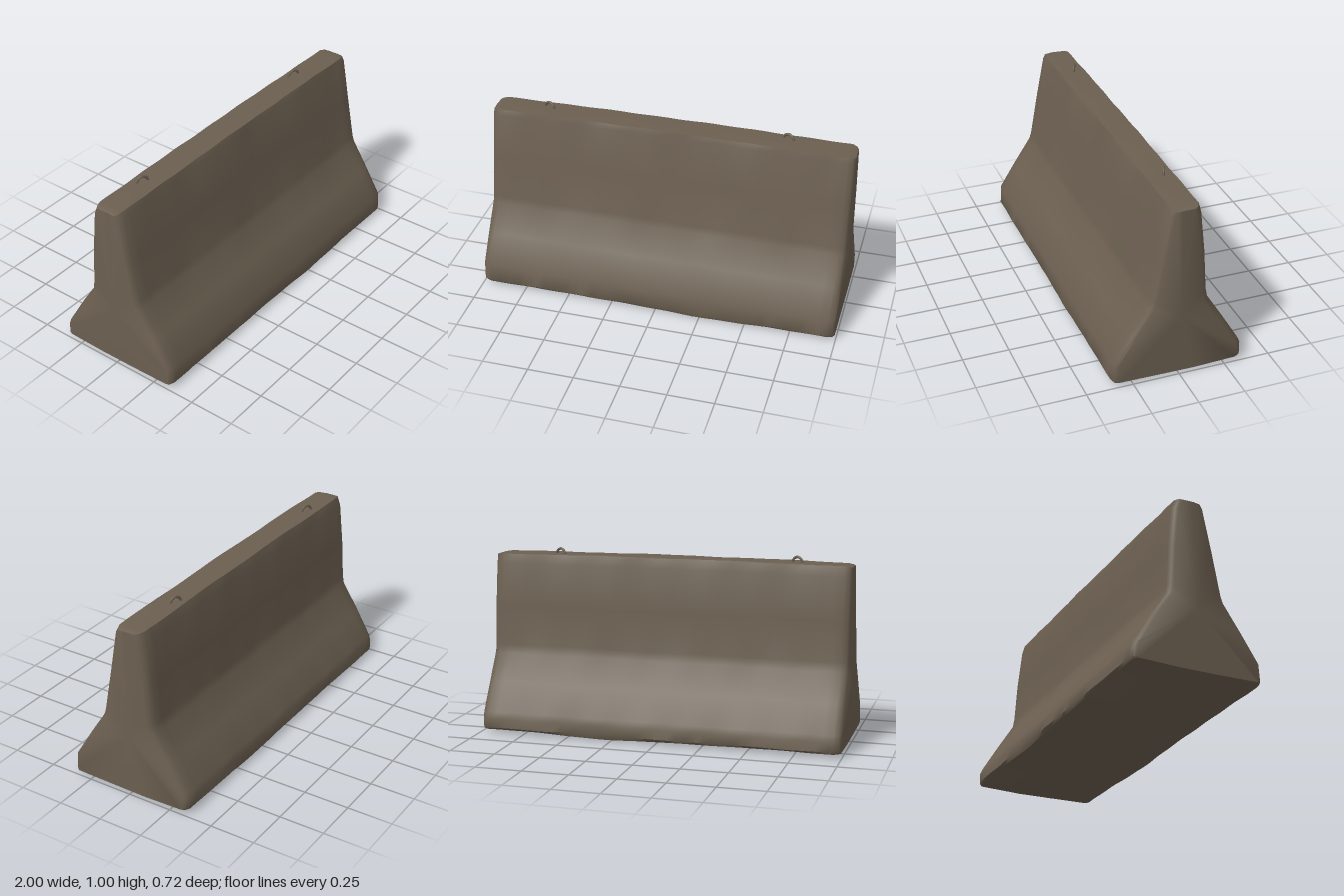
import * as THREE from 'three';
import { toCreasedNormals } from 'three/addons/utils/BufferGeometryUtils.js';

// Cross-section of the barrier as [z, y], up the front, over the top, down the back
const PROFILE = [
  [0.35, 0.018], [0.358, 0.03], [0.352, 0.125], [0.255, 0.275], [0.162, 0.42], [0.15, 0.46],
  [0.105, 0.7], [0.06, 0.935], [0.05, 0.962], [-0.025, 0.965], [-0.095, 0.962], [-0.112, 0.91],
  [-0.135, 0.68], [-0.148, 0.46], [-0.16, 0.41], [-0.25, 0.265], [-0.34, 0.115], [-0.352, 0.08],
  [-0.356, 0.03], [-0.345, 0.018], [-0.12, 0.012], [0.12, 0.012],
];
const CENTRE_Y = 0.35;

// Gentle repeatable wear along the length
const wear = (x, k) => Math.sin(x * 9.1 + k * 1.7) * 0.6 + Math.sin(x * 23.3 + k * 2.9) * 0.4;

// One profile point at position x, pulled in by `inset` at the worn ends
function sectionPoint(x, [z, y], j, inset) {
  const backInset = x > 0 && z < 0 ? inset * 1.5 : inset;
  const bow = 1 - x * x;
  let py = y + wear(x, j) * 0.002;
  if (y > 0.9) py += 0.008 * bow - 0.004 - inset * 0.35;
  if (y < 0.02) py -= 0.012 * Math.exp(-((x - 0.25) ** 2) / 0.08) - inset * 0.2;
  const pz = z - Math.sign(z) * Math.min(backInset, Math.abs(z)) + wear(x + 2, j) * 0.0025;
  return [x, Math.max(py, 0), pz];
}

function barrierGeometry() {
  // [x, inset] stations, with rounded worn ends
  const stations = [[-0.993, 0.022], [-0.982, 0.009], [-0.955, 0]];
  const steps = 36;
  for (let i = 1; i < steps; i++) stations.push([-0.955 + (1.91 * i) / steps, 0]);
  stations.push([0.955, 0], [0.982, 0.009], [0.993, 0.022]);

  const n = PROFILE.length;
  const positions = [];
  const index = [];
  for (const [x, inset] of stations) {
    PROFILE.forEach((p, j) => positions.push(...sectionPoint(x, p, j, inset)));
  }
  for (let i = 0; i < stations.length - 1; i++) {
    for (let j = 0; j < n; j++) {
      const k = (j + 1) % n;
      const a = i * n + j, b = (i + 1) * n + j, c = (i + 1) * n + k, d = i * n + k;
      index.push(a, b, c, a, c, d);
    }
  }
  // Slightly domed end faces
  const left = positions.length / 3;
  positions.push(-1, CENTRE_Y, 0, 1, CENTRE_Y, 0);
  const last = (stations.length - 1) * n;
  for (let j = 0; j < n; j++) {
    const k = (j + 1) % n;
    index.push(left, j, k, left + 1, last + k, last + j);
  }
  const geometry = new THREE.BufferGeometry();
  geometry.setAttribute('position', new THREE.Float32BufferAttribute(positions, 3));
  geometry.setIndex(index);
  return toCreasedNormals(geometry, 0.75);
}

// Bent steel bar standing out of the top
function liftingLoopGeometry() {
  const path = new THREE.CatmullRomCurve3([
    [-0.03, -0.03], [-0.031, 0.0], [-0.022, 0.021], [0, 0.031], [0.022, 0.021], [0.031, 0.0], [0.03, -0.03],
  ].map(([x, y]) => new THREE.Vector3(x, y, 0)));
  return new THREE.TubeGeometry(path, 20, 0.007, 8, false);
}

export function createModel() {
  const group = new THREE.Group();
  group.name = 'concreteBarrier';
  const concrete = new THREE.MeshStandardMaterial({ color: 0x6b5f50 });
  concrete.name = 'concrete';

  const body = new THREE.Mesh(barrierGeometry(), concrete);
  body.name = 'barrierBody';
  group.add(body);

  const loopGeometry = liftingLoopGeometry();
  for (const [name, x, z] of [['rightLiftingLoop', -0.695, -0.04], ['leftLiftingLoop', 0.625, -0.05]]) {
    const loop = new THREE.Mesh(loopGeometry, concrete);
    loop.name = name;
    loop.position.set(x, 0.962, z);
    loop.rotation.y = -0.4;
    group.add(loop);
  }
  return group;
}
